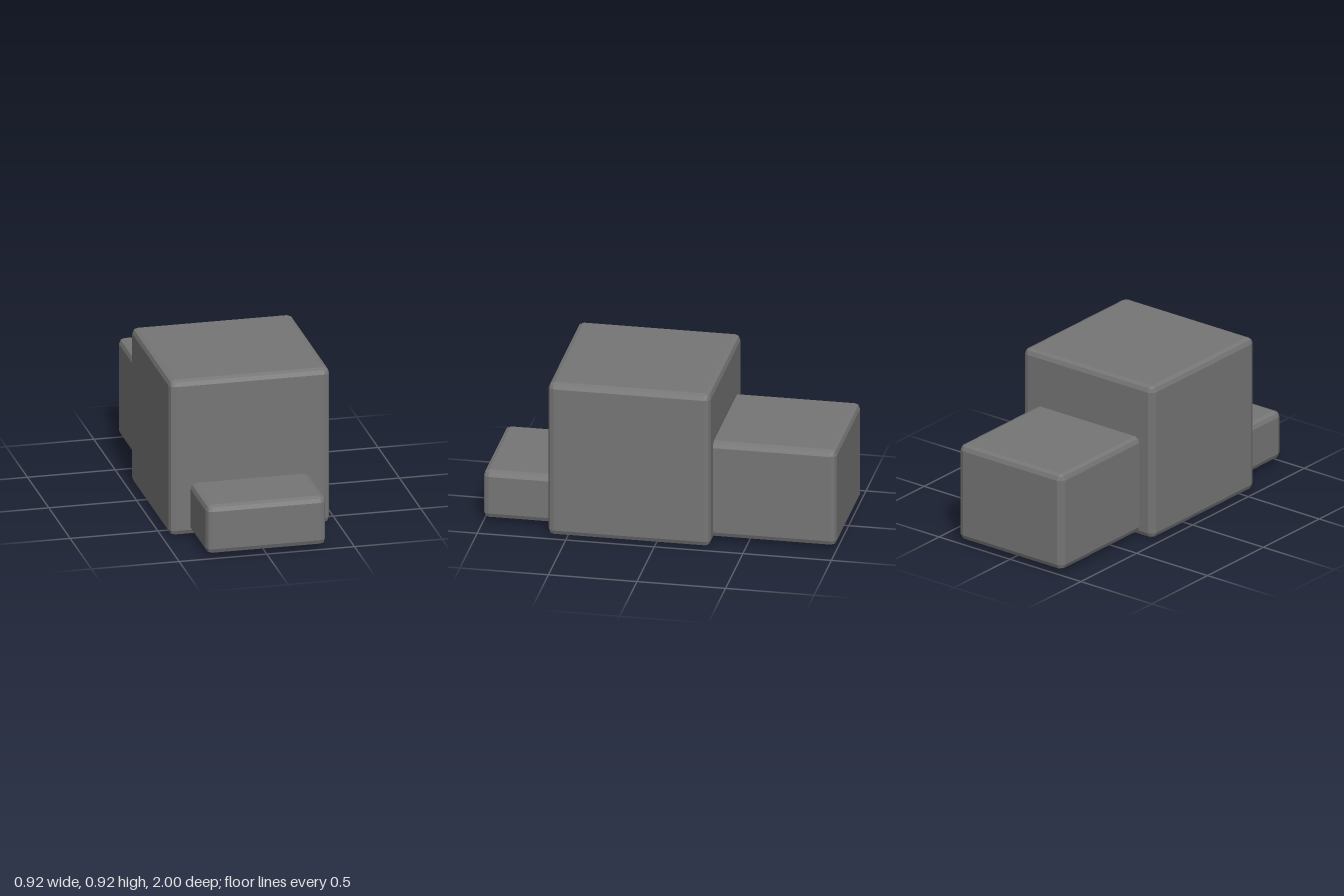
import * as THREE from 'three';
import { RoundedBoxGeometry } from 'three/addons/geometries/RoundedBoxGeometry.js';

const BEVEL = 0.033;

export function createModel() {
  const model = new THREE.Group();
  model.name = 'steppedBlocks';
  const material = new THREE.MeshStandardMaterial({ color: 0x767676, flatShading: true });

  // Bevelled block centred on x, given its width and its y and z ranges
  function addBlock(name, width, [y0, y1], [z0, z1]) {
    const geometry = new RoundedBoxGeometry(width, y1 - y0, z1 - z0, 1, BEVEL);
    const mesh = new THREE.Mesh(geometry, material);
    mesh.name = name;
    mesh.position.set(0, (y0 + y1) / 2, (z0 + z1) / 2);
    model.add(mesh);
  }

  addBlock('mainBlock', 0.916, [0, 0.916], [-0.305, 0.611]);
  // The smaller blocks run a little way into the main block
  addBlock('frontBlock', 0.682, [0.022, 0.308], [0.5, 1]);
  addBlock('rearBlock', 0.73, [0.022, 0.596], [-1, -0.2]);

  return model;
}
